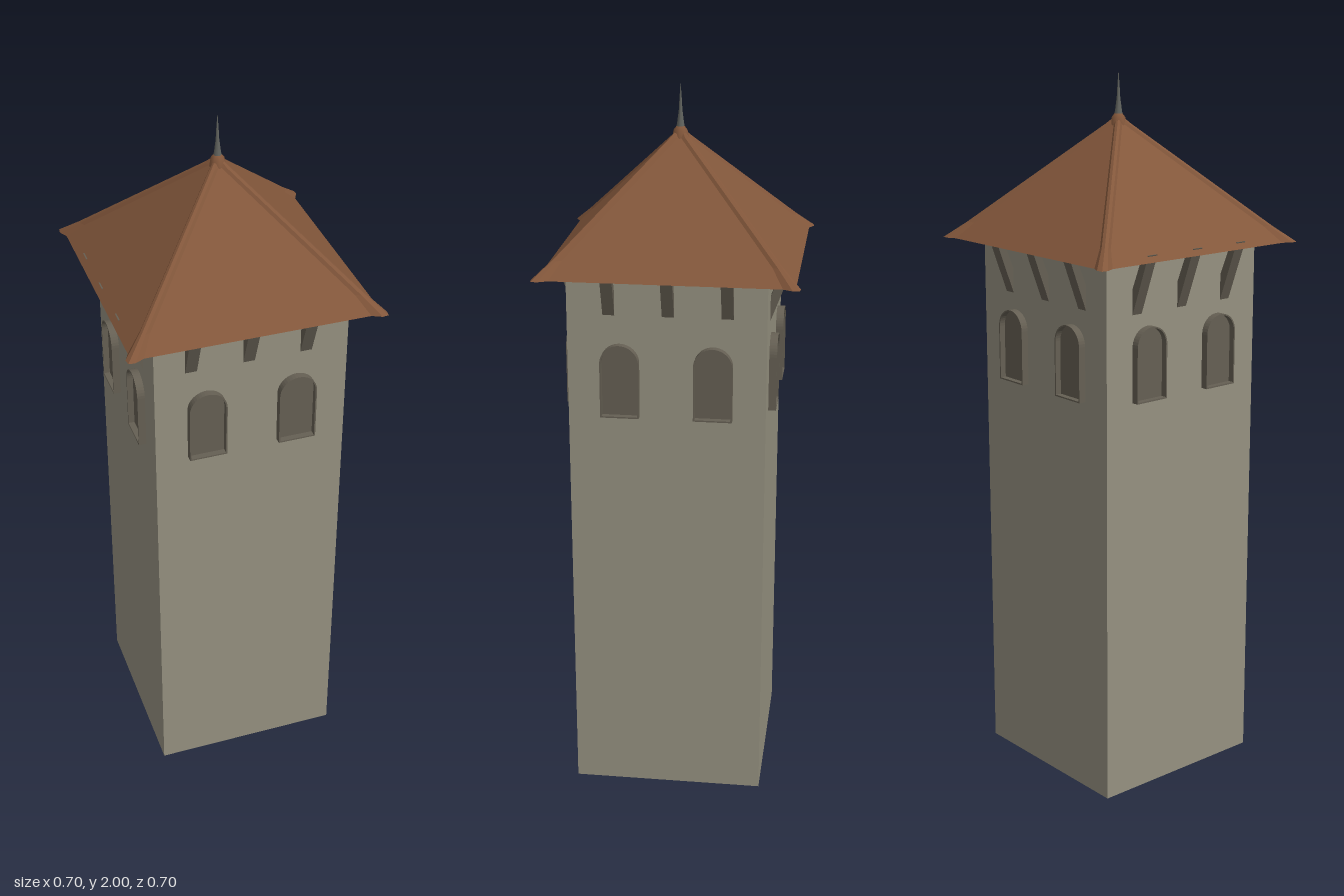
import * as THREE from 'three';

const mat = (name, color, double) => {
  const m = new THREE.MeshStandardMaterial({ color });
  m.name = name;
  if (double) m.side = THREE.DoubleSide;
  return m;
};

const mesh = (name, geometry, material, parent) => {
  const m = new THREE.Mesh(geometry, material);
  m.name = name;
  parent.add(m);
  return m;
};

// Quads between successive closed rings of points, flat shaded
function loft(rings) {
  const pos = [];
  for (let r = 0; r < rings.length - 1; r++) {
    const lo = rings[r], hi = rings[r + 1], n = lo.length;
    for (let i = 0; i < n; i++) {
      const j = (i + 1) % n;
      pos.push(...lo[i], ...lo[j], ...hi[j], ...lo[i], ...hi[j], ...hi[i]);
    }
  }
  const g = new THREE.BufferGeometry();
  g.setAttribute('position', new THREE.Float32BufferAttribute(pos, 3));
  g.computeVertexNormals();
  return g;
}

// Square roof ring of half size a, with a raised hip ridge at each corner
function roofRing(a, y, k) {
  const corner = [[a, a - 0.033 * k], [a + 0.013 * k, a - 0.007 * k], [a + 0.011 * k, a + 0.011 * k],
    [a - 0.007 * k, a + 0.013 * k], [a - 0.033 * k, a]];
  const ring = [];
  for (let q = 0; q < 4; q++) {
    for (const [x, z] of corner) {
      const c = [[x, z], [-z, x], [-x, -z], [z, -x]][q];
      ring.push([c[0], y, c[1]]);
    }
  }
  return ring.reverse();
}

// Round-headed opening outline standing on y = 0
function arch(path, w, h, inset) {
  const r = w / 2 - inset;
  path.moveTo(-r, inset);
  path.lineTo(r, inset);
  path.lineTo(r, h - w / 2);
  path.absarc(0, h - w / 2, r, 0, Math.PI, false);
  path.lineTo(-r, inset);
  return path;
}

export function createModel() {
  const model = new THREE.Group();
  model.name = 'tower';
  const stone = mat('stone', 0x959180, true);
  const tile = mat('roof tile', 0x83573b, true);
  const wood = mat('dark wood', 0x655f53, true);
  const metal = mat('grey metal', 0x62645f, false);

  // Open-ended square shaft
  const s = 0.268, off = 0.004;
  const square = (y) => [[-s, y, s], [s, y, s], [s, y, -s], [-s, y, -s]];
  mesh('towerWalls', loft([square(0), square(1.535)]), stone, model).position.set(off, 0, off);

  // Hipped roof shell with ridges flaring at the eaves
  mesh('roof', loft([
    roofRing(0.339, 1.535, 1),
    roofRing(0.295, 1.579, 0.6),
    roofRing(0.02, 1.854, 0.5),
    roofRing(0.008, 1.87, 0.3),
  ]), tile, model);

  // Cap and spike
  const lathe = (pts) => new THREE.LatheGeometry(pts.map((p) => new THREE.Vector2(...p)), 8);
  mesh('roofCap', lathe([[0.023, 1.85], [0.019, 1.872], [0.009, 1.885], [0, 1.886]]), tile, model);
  mesh('spike', lathe([[0.012, 1.875], [0.009, 1.895], [0.005, 1.925], [0.003, 1.96], [0, 2]]), metal, model);

  // Window: thin projecting surround with a pane set back inside
  const w = 0.105, h = 0.205;
  const surround = arch(new THREE.Shape(), w, h, 0);
  surround.holes.push(arch(new THREE.Path(), w, h, 0.004));
  const frameGeo = new THREE.ExtrudeGeometry(surround, { depth: 0.025, bevelEnabled: false, curveSegments: 10 });
  const paneGeo = new THREE.ShapeGeometry(arch(new THREE.Shape(), w, h, 0.002), 10);

  // Slanted strut profile: distance from centre, height
  const profile = new THREE.Shape([[0.245, 1.345], [0.322, 1.552], [0.3, 1.552], [0.245, 1.42]]
    .map((p) => new THREE.Vector2(...p)));
  const strutGeo = new THREE.ExtrudeGeometry(profile, { depth: 0.032, bevelEnabled: false });
  strutGeo.translate(0, 0, -0.016);
  strutGeo.rotateY(-Math.PI / 2);

  // Two windows and three struts on each side
  for (let i = 0; i < 4; i++) {
    const windows = new THREE.Group();
    windows.name = 'windows';
    windows.position.set(off, 0, off);
    windows.rotation.y = i * Math.PI / 2;
    for (const x of [-0.126, 0.126]) {
      mesh('windowFrame', frameGeo, wood, windows).position.set(x, 1.145, s - 0.004);
      mesh('windowPane', paneGeo, wood, windows).position.set(x, 1.145, s + 0.004);
    }
    const struts = new THREE.Group();
    struts.name = 'struts';
    struts.position.x = -0.004;
    struts.rotation.y = i * Math.PI / 2;
    for (const x of [-0.159, 0, 0.159]) mesh('roofStrut', strutGeo, wood, struts).position.x = x;
    model.add(windows, struts);
  }
  return model;
}
